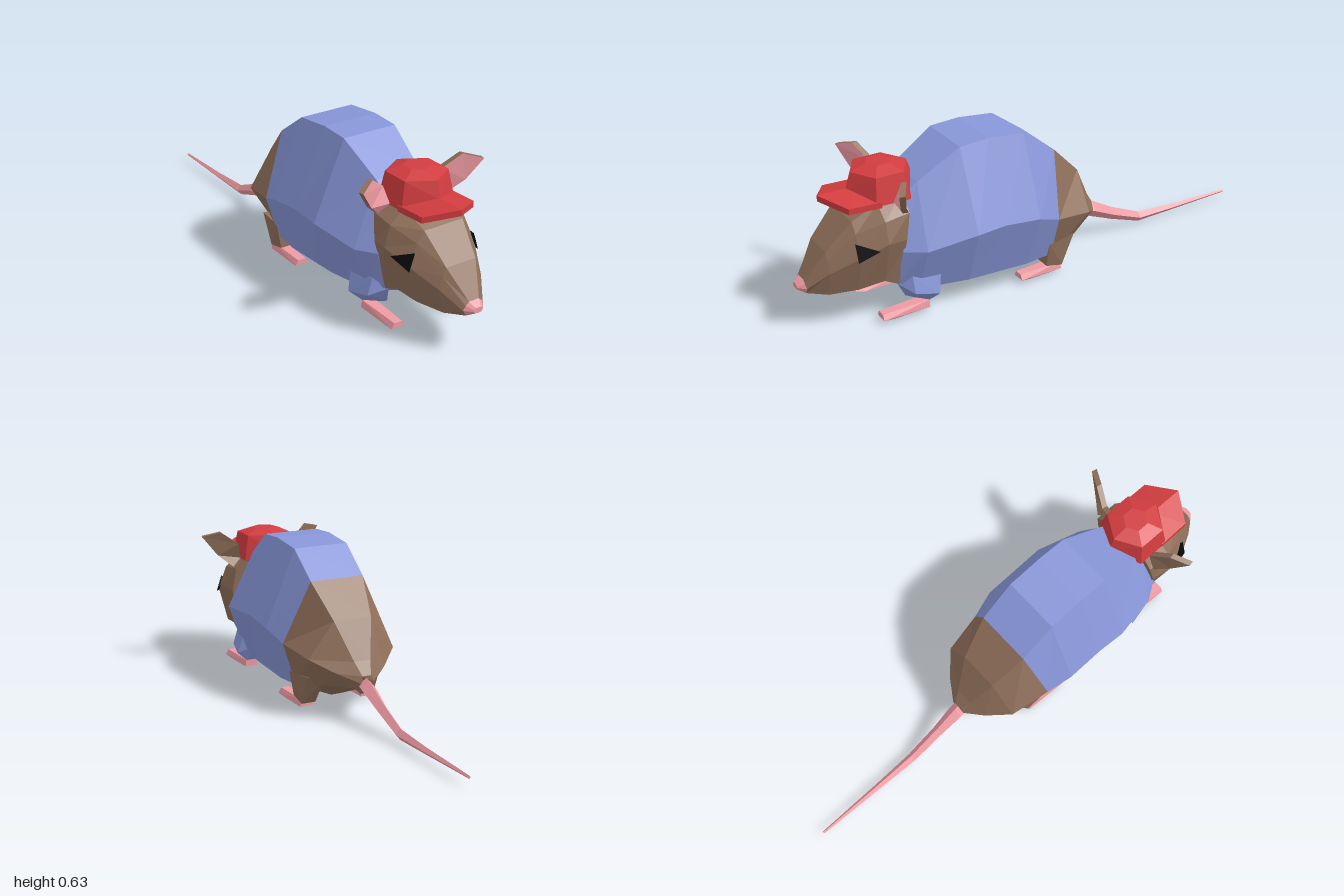
import * as THREE from 'three';
import { ConvexGeometry } from 'three/addons/geometries/ConvexGeometry.js';

const paint = (color) => new THREE.MeshStandardMaterial({ color, flatShading: true });
const V = (p) => new THREE.Vector3(...p);

export function createModel() {
  const model = new THREE.Group();
  const fur = paint(0x8f6f5a), shirt = paint(0x8896d8), pink = paint(0xee9aa2);
  const red = paint(0xd23c3f), black = paint(0x0a0a0a);

  const add = (name, geometry, material, parent = model) => {
    const mesh = new THREE.Mesh(geometry, material);
    mesh.name = name;
    parent.add(mesh);
    return mesh;
  };

  // Flat polygons (fan triangulated) from lists of corners
  const polygons = (faces) => {
    const pos = [];
    for (const f of faces)
      for (let i = 1; i < f.length - 1; i++) pos.push(...f[0], ...f[i], ...f[i + 1]);
    const g = new THREE.BufferGeometry();
    g.setAttribute('position', new THREE.Float32BufferAttribute(pos, 3));
    g.computeVertexNormals();
    return g;
  };

  // Symmetric skin over half rings (top to bottom on +x), ordered back to front
  const loft = (halves) => {
    const rings = halves.map((h) => [
      ...h, ...h.filter((p) => p[0] !== 0).reverse().map(([x, y, z]) => [-x, y, z])]);
    const n = rings[0].length;
    const faces = [[...rings[0]], [...rings[rings.length - 1]].reverse()];
    for (let r = 0; r < rings.length - 1; r++)
      for (let i = 0; i < n; i++) {
        const j = (i + 1) % n, a = rings[r], b = rings[r + 1];
        faces.push([a[i], b[i], b[j], a[j]]);
      }
    return polygons(faces);
  };

  const hull = (points, side = 1) => new ConvexGeometry(points.map(([x, y, z]) => V([x * side, y, z])));

  // Torso rings: back edge, flank, lower flank, belly
  const waist = [[.113, .51, -.04], [.215, .265, 0], [.16, .09, 0], [0, .02, .01]];
  add('hindquarters', loft([
    [[.018, .185, -.285], [.03, .16, -.285], [.018, .13, -.275], [0, .12, -.26]],
    [[.035, .235, -.25], [.105, .195, -.235], [.05, .13, -.235], [0, .105, -.2]],
    [[.08, .38, -.17], [.185, .24, -.16], [.12, .12, -.13], [0, .055, -.08]],
    waist,
  ]), fur);
  add('shirt', loft([
    waist,
    [[.115, .612, .1], [.24, .305, .1], [.17, .085, .12], [0, 0, .16]],
    [[.115, .627, .25], [.24, .32, .25], [.17, .09, .26], [0, .02, .26]],
    [[.115, .62, .37], [.245, .315, .37], [.165, .09, .37], [0, .01, .37]],
    [[.095, .515, .54], [.205, .28, .56], [.14, .1, .57], [0, .055, .57]],
    [[.085, .46, .61], [.155, .28, .635], [.12, .14, .65], [0, .1, .65]],
  ]), shirt);

  // Head rings: crown, temple, cheek, jaw, chin
  const muzzle = [[.022, .205, .975], [.036, .192, .975], [.045, .175, .972], [.028, .15, .97], [0, .148, .97]];
  add('head', loft([
    [[.09, .49, .6], [.15, .43, .6], [.16, .33, .62], [.125, .135, .645], [0, .1, .65]],
    [[.095, .47, .7], [.155, .42, .7], [.178, .34, .7], [.125, .165, .7], [0, .15, .7]],
    [[.085, .42, .8], [.115, .38, .8], [.15, .3, .8], [.11, .152, .8], [0, .14, .8]],
    [[.065, .315, .9], [.08, .285, .9], [.095, .24, .9], [.07, .142, .9], [0, .135, .9]],
    muzzle,
  ]), fur);
  add('nose', loft([
    muzzle,
    [[.012, .188, 1], [.018, .182, 1], [.02, .176, 1], [.014, .168, 1], [0, .166, 1]],
  ]), pink);

  // Tail, diamond in section: z, y, half width, half height
  add('tail', loft([
    [-1, .037, .005, .006], [-.72, .034, .012, .014], [-.54, .036, .018, .022],
    [-.4, .09, .022, .028], [-.3, .138, .03, .036], [-.25, .155, .028, .03],
  ].map(([z, y, w, h]) => [[0, y + h, z], [w, y, z], [0, y - h, z]])), pink);

  // Cap: six-sided crown, and a peaked brim in two halves
  const cap = new THREE.Group();
  cap.name = 'cap';
  model.add(cap);
  const baseHeights = [.505, .468, .465, .505, .465, .468];
  const crown = [];
  for (let k = 0; k < 6; k++) {
    const a = k * Math.PI / 3;
    for (const [r, y] of [[.135, baseHeights[k]], [.112, .57], [.05, .59]])
      crown.push([Math.sin(a) * r, y, .645 + Math.cos(a) * r]);
  }
  add('capCrown', hull(crown), red, cap);
  const brim = [[0, .512, .89], [.115, .487, .82], [.117, .482, .69], [0, .512, .74]];
  const brimHalf = [...brim, ...brim.map(([x, y, z]) => [x, y - .023, z])];

  // Ear outline, counter-clockwise from the front
  const ear = [[.155, .437, .63], [.21, .485, .665], [.268, .565, .695],
    [.2, .585, .655], [.132, .535, .625], [.115, .47, .645]];
  const earBack = ear.map(([x, y, z]) => [x + .004, y, z - .022]);

  for (const side of [1, -1]) {
    const name = side > 0 ? 'left' : 'right';
    const mirror = (faces) => polygons(side > 0 ? faces
      : faces.map((f) => f.map(([x, y, z]) => [-x, y, z]).reverse()));

    add(name + 'Brim', hull(brimHalf, side), red, cap);

    // Folded ear with pink inside
    const quads = [[0, 1, 4, 5], [1, 2, 3, 4]];
    add(name + 'EarInner', mirror(quads.map((q) => q.map((i) => ear[i]))), pink);
    const shell = quads.map((q) => q.map((i) => earBack[i]).reverse());
    ear.forEach((p, i) => {
      const j = (i + 1) % ear.length;
      shell.push([p, earBack[i], earBack[j], ear[j]]);
    });
    add(name + 'EarShell', mirror(shell), fur);

    // Triangular eye set into the cheek
    add(name + 'Eye', hull([[.178, .322, .735], [.132, .353, .812], [.155, .285, .812], [.1, .32, .77]], side), black);

    // Sleeve and front paw
    add(name + 'Sleeve', hull([
      [.165, .17, .49], [.15, .165, .6], [.19, .085, .51], [.11, .13, .645], [.17, .1, .6],
      [.14, .04, .53], [.06, .05, .55], [.1, .025, .54], [.08, .05, .6], [.08, .12, .48],
    ], side), shirt);
    const paw = (z0, z1, x) => [
      ...[-.028, .028].flatMap((dx) => [[x + dx, .012, z0], [x + dx * .8, .04, z0],
        [x + dx, .008, z1 - .04], [x + dx + .008, .016, z1], [x + dx * .6 + .008, .037, z1]]),
    ];
    add(name + 'FrontPaw', hull(paw(.53, .725, .118), side), pink);

    // Hind leg and foot
    add(name + 'HindLeg', hull([
      [.1, .13, -.12], [.165, .15, -.1], [.18, .15, .02], [.1, .12, .02],
      [.1, .025, -.05], [.16, .025, -.05], [.16, .04, .02], [.1, .04, .02],
    ], side), fur);
    add(name + 'HindFoot', hull(paw(-.045, .14, .135), side), pink);
  }
  return model;
}
